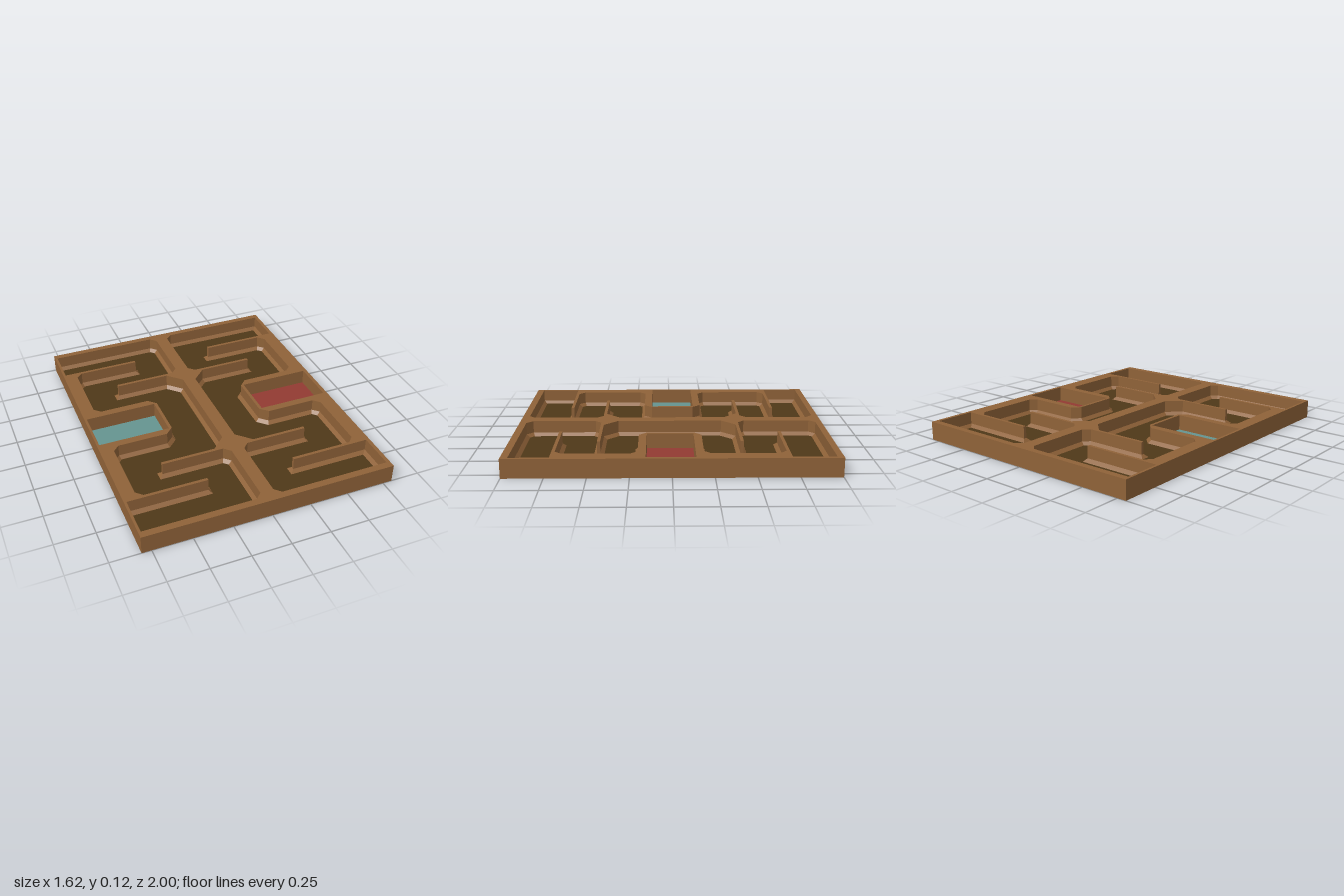
import * as THREE from 'three';

const HALF_W = 0.81, HALF_D = 1, HEIGHT = 0.12, FLOOR = 0.02;
const FILLET = 0.022, FILLET_TOP = 0.042, SHIFT = -0.004;

const material = (color, flatShading = true) => new THREE.MeshStandardMaterial({ color, flatShading });
const wood = material(0x8f6238), darkWood = material(0x4f3818);
const blue = material(0x659490), red = material(0x923a32);

// z positions of the baffles and the island on each side
const sides = [
  { name: 'right', s: -1, a: -0.71, b: -0.46, c: 0.445, d: 0.685, island: [-0.21, 0.18], pocket: [-0.16, 0.13], pad: blue },
  { name: 'left', s: 1, a: -0.69, b: -0.435, c: 0.45, d: 0.705, island: [-0.19, 0.205], pocket: [-0.14, 0.155], pad: red },
];

// turn [x, z, cut] corners into a counter-clockwise plan outline, cutting corners where asked
function outline(corners) {
  const pts = [];
  const n = corners.length;
  corners.forEach(([x, z, cut = 0], i) => {
    const p = new THREE.Vector2(x, -z);
    if (!cut) { pts.push(p); return; }
    for (const j of [(i + n - 1) % n, (i + 1) % n]) {
      const dir = new THREE.Vector2(corners[j][0], -corners[j][1]).sub(p).normalize();
      pts.push(p.clone().addScaledVector(dir, cut));
    }
  });
  return THREE.ShapeUtils.isClockWise(pts) ? pts.reverse() : pts;
}

// offset a counter-clockwise outline inwards with mitred corners
function inset(pts, dist) {
  const n = pts.length;
  return pts.map((p, i) => {
    const e1 = p.clone().sub(pts[(i + n - 1) % n]).normalize();
    const e2 = pts[(i + 1) % n].clone().sub(p).normalize();
    const n1 = new THREE.Vector2(-e1.y, e1.x), n2 = new THREE.Vector2(-e2.y, e2.x);
    return p.clone().addScaledVector(n1.clone().add(n2), dist / (1 + n1.dot(n2)));
  });
}

// winding channel with thin baffles reaching in from the spine and from the edge
function channelOutline({ s, a, b, c, d, island: [i0, i1] }) {
  const t = 0.01, spine = 0.042, edge = 0.79, mid = 0.486, tip = 0.28, bay = 0.72, isle = 0.305;
  const corners = [
    [edge, -0.96], [spine, -0.96, 0.04],
    [spine, b - t, 0.04], [mid, b - t], [mid, b + t], [spine, b + t, 0.09],
    [spine, c - t, 0.09], [mid, c - t], [mid, c + t], [spine, c + t, 0.04],
    [spine, 0.955, 0.04], [edge, 0.955],
    [edge, d + t], [tip, d + t], [tip, d - t], [bay, d - t, 0.04],
    [bay, i1, 0.04], [isle, i1, 0.05], [isle, i0, 0.05], [bay, i0, 0.04],
    [bay, a + t, 0.04], [tip, a + t], [tip, a - t], [edge, a - t],
  ];
  return outline(corners.map(([u, z, cut]) => [s * u + SHIFT, z, cut]));
}

function pocketOutline({ s, pocket: [z0, z1] }) {
  const [x0, x1] = [s * 0.325 + SHIFT, s * 0.79 + SHIFT];
  return outline([[x0, z0], [x1, z0], [x1, z1], [x0, z1]]);
}

// sloped strip joining a channel's walls to its floor
function filletGeometry(outer) {
  const inner = inset(outer, FILLET), pos = [];
  outer.forEach((p, i) => {
    const j = (i + 1) % outer.length;
    const A = [p.x, p.y, FILLET_TOP], B = [outer[j].x, outer[j].y, FILLET_TOP];
    const C = [inner[j].x, inner[j].y, FLOOR], D = [inner[i].x, inner[i].y, FLOOR];
    pos.push(...A, ...B, ...C, ...A, ...C, ...D);
  });
  const g = new THREE.BufferGeometry();
  g.setAttribute('position', new THREE.Float32BufferAttribute(pos, 3));
  g.computeVertexNormals();
  return g;
}

export function createModel() {
  const group = new THREE.Group();
  const add = (name, geometry, mat) => {
    const mesh = new THREE.Mesh(geometry, mat);
    mesh.name = name;
    group.add(mesh);
    return mesh;
  };
  // plan drawings lie in XY; lay them flat
  const flat = (g, y = 0) => g.rotateX(-Math.PI / 2).translate(0, y, 0);

  // base plate
  add('basePlate', new THREE.BoxGeometry(2 * HALF_W, FLOOR, 2 * HALF_D).translate(0, FLOOR / 2, 0), wood);

  // walls: a slab with the channels and pockets cut out
  const slab = new THREE.Shape(outline([
    [-HALF_W, -HALF_D], [HALF_W, -HALF_D], [HALF_W, HALF_D], [-HALF_W, HALF_D],
  ]));

  for (const side of sides) {
    const channel = channelOutline(side), pocket = pocketOutline(side);
    slab.holes.push(new THREE.Path(channel), new THREE.Path(pocket));

    // channel floor, its sloped border and the coloured pocket floor
    const floor = new THREE.Shape(inset(channel, FILLET));
    add(side.name + 'ChannelFloor', flat(new THREE.ShapeGeometry(floor), FLOOR + 0.002), darkWood);
    add(side.name + 'ChannelFillet', flat(filletGeometry(channel)), wood);
    add(side.name + 'PocketFloor', flat(new THREE.ShapeGeometry(new THREE.Shape(pocket)), FLOOR + 0.002), side.pad);
  }

  const walls = new THREE.ExtrudeGeometry(slab, { depth: HEIGHT - FLOOR, bevelEnabled: false });
  add('walls', flat(walls, FLOOR), wood);
  return group;
}
